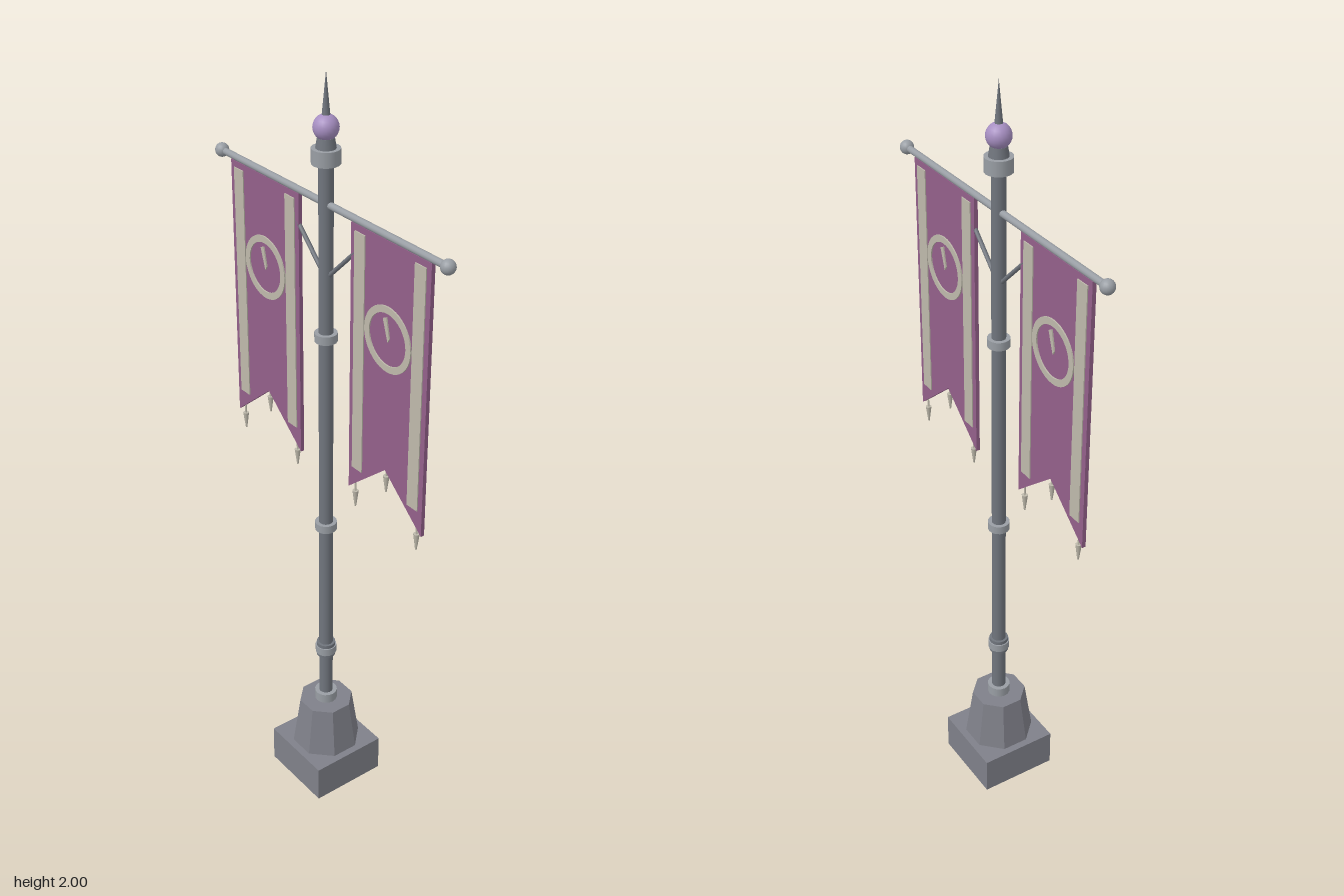
import * as THREE from 'three';

const mat = (name, color) => {
  const m = new THREE.MeshStandardMaterial({ color });
  m.name = name;
  return m;
};

export function createModel() {
  const stone = mat('stone', 0x7f8089);
  const iron = mat('iron', 0x70757d);
  const steel = mat('steel', 0x999ea4);
  const crystal = mat('crystal', 0xa78fc2);
  const cloth = mat('cloth', 0x93608a);
  const trim = mat('trim', 0xbeb9ab);
  const stoneFaceted = stone.clone();
  stoneFaceted.flatShading = true;

  const root = new THREE.Group();
  root.name = 'bannerPost';
  const add = (parent, name, geo, material, x = 0, y = 0, z = 0) => {
    const m = new THREE.Mesh(geo, material);
    m.name = name;
    m.position.set(x, y, z);
    parent.add(m);
    return m;
  };
  // Upright cylinder between two heights
  const column = (name, rBottom, rTop, y0, y1, material, sides = 16) =>
    add(root, name, new THREE.CylinderGeometry(rTop, rBottom, y1 - y0, sides), material, 0, (y0 + y1) / 2);

  // Pedestal
  add(root, 'plinth', new THREE.BoxGeometry(0.21, 0.105, 0.21), stone, 0, 0.0525);
  const k = 1 / Math.cos(Math.PI / 8);
  column('pedestal', 0.086 * k, 0.067 * k, 0.105, 0.245, stoneFaceted, 8).rotation.y = Math.PI / 8;

  // Pole with its collars
  column('pole', 0.0185, 0.0175, 0.245, 1.83, iron);
  column('footCollar', 0.03, 0.03, 0.245, 0.272, steel);
  column('lowerBand', 0.025, 0.025, 0.398, 0.44, iron);
  column('lowerCollar', 0.028, 0.028, 0.408, 0.43, steel);
  for (const y of [0.82, 1.36]) column('poleCollar', 0.028, 0.028, y - 0.011, y + 0.011, steel);
  column('topCollar', 0.034, 0.034, 1.79, 1.826, steel);
  column('neck', 0.024, 0.02, 1.826, 1.85, iron);

  // Finial
  add(root, 'finialBall', new THREE.SphereGeometry(0.03, 20, 14), crystal, 0, 1.873);
  column('finialSpike', 0.01, 0, 1.895, 2.0, iron, 10);

  // Crossbar with end balls and braces
  add(root, 'crossbar', new THREE.CylinderGeometry(0.0085, 0.0085, 0.82, 12), steel, 0, 1.695).rotation.z = Math.PI / 2;
  for (const s of [-1, 1]) {
    add(root, 'endBall', new THREE.SphereGeometry(0.0175, 16, 12), steel, s * 0.415, 1.695);
    const path = new THREE.LineCurve3(new THREE.Vector3(s * 0.005, 1.515, 0), new THREE.Vector3(s * 0.11, 1.617, 0));
    add(root, 'brace', new THREE.TubeGeometry(path, 1, 0.0055, 8), iron);
  }

  const plate = (points, depth) => {
    const shape = new THREE.Shape(points.map(([x, y]) => new THREE.Vector2(x, y)));
    return new THREE.ExtrudeGeometry(shape, { depth, bevelEnabled: false });
  };

  // Swallowtail cloth, local origin on the bar
  const clothGeo = plate([[-0.136, -0.7], [0, -0.585], [0.136, -0.7], [0.136, -0.005], [-0.136, -0.005]], 0.01);
  clothGeo.translate(0, 0, -0.005);
  const stripeGeo = new THREE.BoxGeometry(0.037, 0.615, 0.003);
  const ringShape = new THREE.Shape().absarc(0, 0, 0.081, 0, Math.PI * 2);
  ringShape.holes.push(new THREE.Path().absarc(0, 0, 0.064, 0, Math.PI * 2, true));
  const ringGeo = new THREE.ExtrudeGeometry(ringShape, { depth: 0.004, bevelEnabled: false, curveSegments: 20 });
  const pointerGeo = plate([[-0.016, 0.048], [-0.004, 0.054], [0.007, 0.004], [0.002, -0.006]], 0.004);
  const tasselGeo = new THREE.CylinderGeometry(0.008, 0.002, 0.045, 8);
  const cordGeo = new THREE.CylinderGeometry(0.0025, 0.0025, 0.03, 6);

  for (const s of [-1, 1]) {
    const banner = new THREE.Group();
    banner.name = s > 0 ? 'leftBanner' : 'rightBanner';
    banner.position.set(s * 0.234, 1.692, 0);
    root.add(banner);
    add(banner, 'bannerCloth', clothGeo, cloth);

    // Trim repeated on the front and the back
    for (const turn of [0, Math.PI]) {
      const face = new THREE.Group();
      face.name = turn ? 'backTrim' : 'frontTrim';
      face.rotation.y = turn;
      banner.add(face);
      for (const x of [-0.103, 0.103]) add(face, 'stripe', stripeGeo, trim, x, -0.328, 0.0062);
      add(face, 'emblemRing', ringGeo, trim, 0, -0.24, 0.0045);
      add(face, 'emblemPointer', pointerGeo, trim, 0, -0.24, 0.0045);
    }

    // Tassels below the tips and the notch
    for (const [x, y] of [[-0.115, -0.727], [0, -0.625], [0.115, -0.727]]) {
      add(banner, 'tassel', tasselGeo, trim, x, y);
      add(banner, 'tasselCord', cordGeo, trim, x, y + 0.032);
    }
  }
  return root;
}
